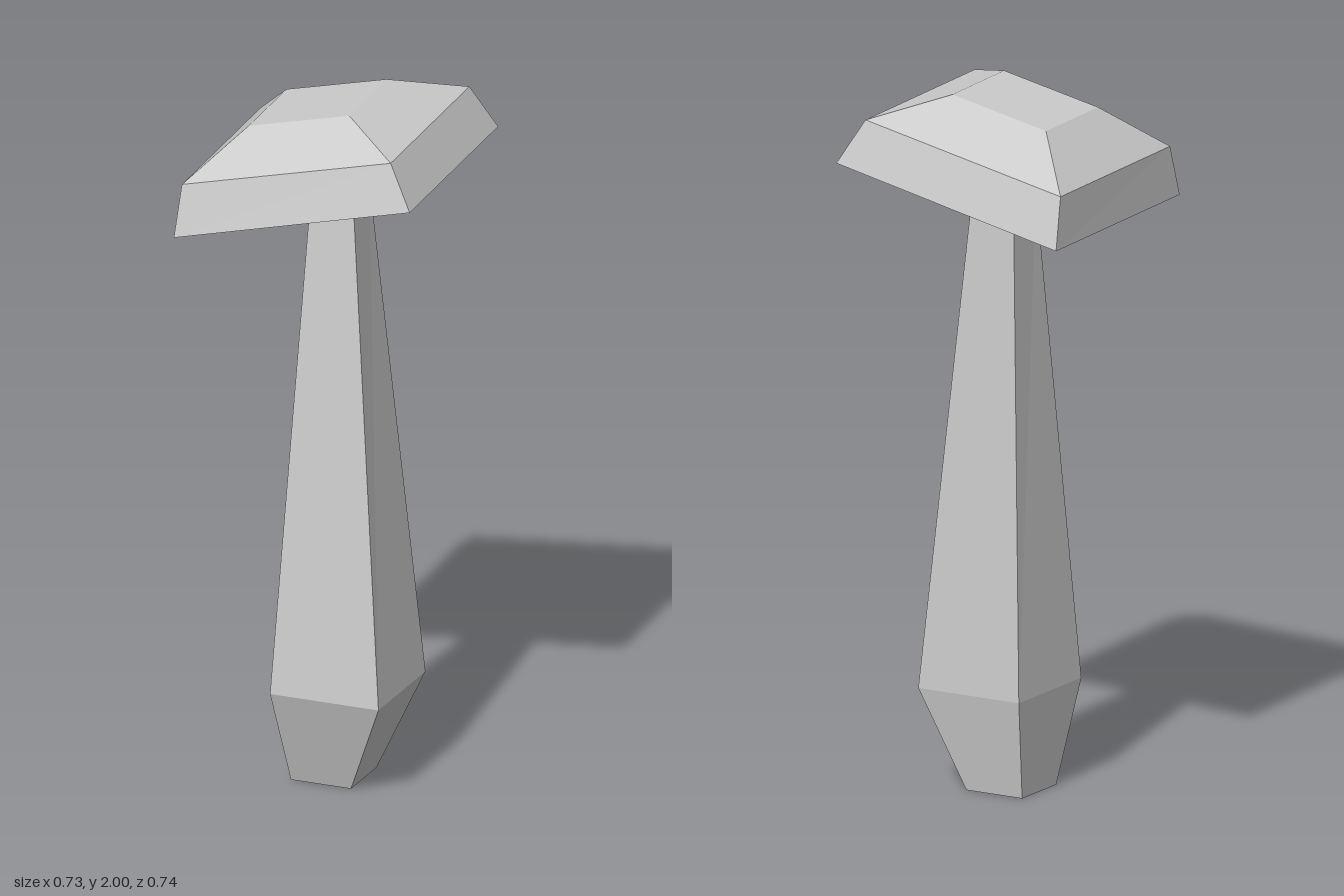
import * as THREE from 'three';

const material = new THREE.MeshStandardMaterial({ color: 0xcccccc, flatShading: true });

// Faceted solid through four-cornered rings, listed bottom to top.
// Corners run back-left, back-right, front-right, front-left as seen from above.
function loft(name, rings) {
  const pos = [];
  const quad = (a, b, c, d) => [a, b, c, a, c, d].forEach((p) => pos.push(...p));
  quad(...rings[0]);
  for (let r = 0; r < rings.length - 1; r++) {
    const lo = rings[r], hi = rings[r + 1];
    for (let i = 0; i < 4; i++) {
      const j = (i + 1) % 4;
      quad(lo[j], lo[i], hi[i], hi[j]);
    }
  }
  quad(...[...rings[rings.length - 1]].reverse());
  const geometry = new THREE.BufferGeometry();
  geometry.setAttribute('position', new THREE.Float32BufferAttribute(pos, 3));
  geometry.computeVertexNormals();
  const mesh = new THREE.Mesh(geometry, material);
  mesh.name = name;
  return mesh;
}

// Ring whose left and right pairs of corners sit at different heights
const ring = (yLow, yHigh, corners) =>
  corners.map(([x, z], i) => [x, i === 1 || i === 2 ? yHigh : yLow, z]);

export function createModel() {
  const group = new THREE.Group();
  group.name = 'mushroom';

  // Stem: small foot, swollen base, long taper into the cap
  group.add(loft('stem', [
    ring(0, 0, [[-0.09, -0.07], [0.09, -0.07], [0.09, 0.11], [-0.09, 0.11]]),
    ring(0.285, 0.285, [[-0.11, -0.12], [0.215, -0.12], [0.215, 0.21], [-0.11, 0.21]]),
    ring(1.69, 1.72, [[-0.058, -0.063], [0.07, -0.068], [0.075, 0.06], [-0.052, 0.065]]),
  ]));

  // Cap: tilted and slightly turned, with a shallow bulge underneath
  group.add(loft('cap', [
    ring(1.655, 1.75, [[-0.23, -0.21], [0.2, -0.23], [0.22, 0.2], [-0.21, 0.22]]),
    ring(1.655, 1.82, [[-0.365, -0.34], [0.325, -0.373], [0.362, 0.335], [-0.33, 0.37]]),
    ring(1.8, 1.943, [[-0.355, -0.3], [0.257, -0.33], [0.29, 0.3], [-0.322, 0.332]]),
    ring(1.932, 2, [[-0.21, -0.14], [0.083, -0.155], [0.1, 0.145], [-0.195, 0.16]]),
  ]));

  return group;
}
